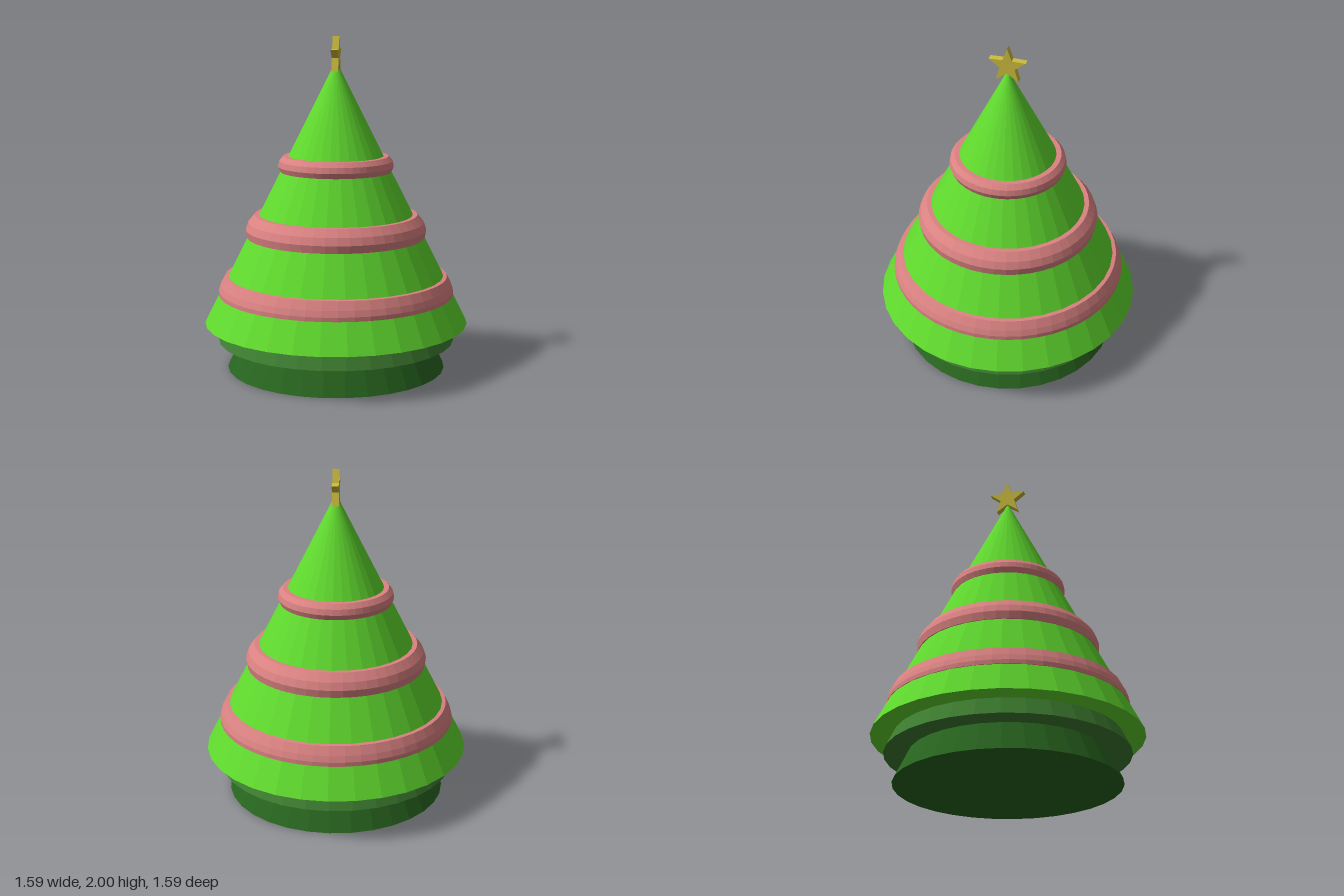
import * as THREE from 'three';

const mat = (color, extra = {}) =>
  new THREE.MeshStandardMaterial({ color, flatShading: true, ...extra });

export function createModel() {
  const tree = new THREE.Group();
  tree.name = 'christmasTree';

  const add = (name, geometry, material) => {
    const mesh = new THREE.Mesh(geometry, material);
    mesh.name = name;
    tree.add(mesh);
    return mesh;
  };

  // Nested foliage cones, each closed underneath: radius, base height, tip height
  const tiers = [
    ['lowerFoliage', 0.66, 0, 1.36, 0x28651f],
    ['middleFoliage', 0.715, 0.175, 1.66, 0x3d7d30],
    ['upperFoliage', 0.795, 0.28, 1.855, 0x60da2e],
  ];
  for (const [name, radius, base, tip, color] of tiers) {
    const cone = new THREE.ConeGeometry(radius, tip - base, 32);
    cone.translate(0, (base + tip) / 2, 0);
    add(name, cone, mat(color));
  }

  // Garlands: faceted rings hugging the cone, profile given as [radius, height]
  const garlands = {
    topGarland: [[0.29, 1.197], [0.333, 1.197], [0.346, 1.228], [0.339, 1.262], [0.315, 1.29], [0.265, 1.29]],
    middleGarland: [[0.48, 0.803], [0.536, 0.803], [0.544, 0.848], [0.528, 0.892], [0.49, 0.938], [0.43, 0.938]],
    bottomGarland: [[0.66, 0.455], [0.71, 0.455], [0.71, 0.48], [0.698, 0.515], [0.672, 0.565], [0.62, 0.57]],
  };
  const pink = mat(0xdb8282, { side: THREE.DoubleSide });
  for (const [name, profile] of Object.entries(garlands)) {
    const points = [...profile, profile[0]].map(([r, y]) => new THREE.Vector2(r, y));
    add(name, new THREE.LatheGeometry(points, 48), pink);
  }

  // Five-pointed star facing sideways at the tip
  const outline = [];
  for (let i = 0; i < 10; i++) {
    const a = Math.PI / 2 + (i * Math.PI) / 5;
    const r = i % 2 ? 0.046 : 0.113;
    outline.push(new THREE.Vector2(r * Math.cos(a), r * Math.sin(a)));
  }
  const starGeometry = new THREE.ExtrudeGeometry(new THREE.Shape(outline), {
    depth: 0.04,
    bevelEnabled: false,
  });
  starGeometry.translate(0, 0, -0.02);
  const star = add('star', starGeometry, mat(0xcdbd3f));
  star.rotation.y = Math.PI / 2;
  star.position.y = 1.887;

  return tree;
}
